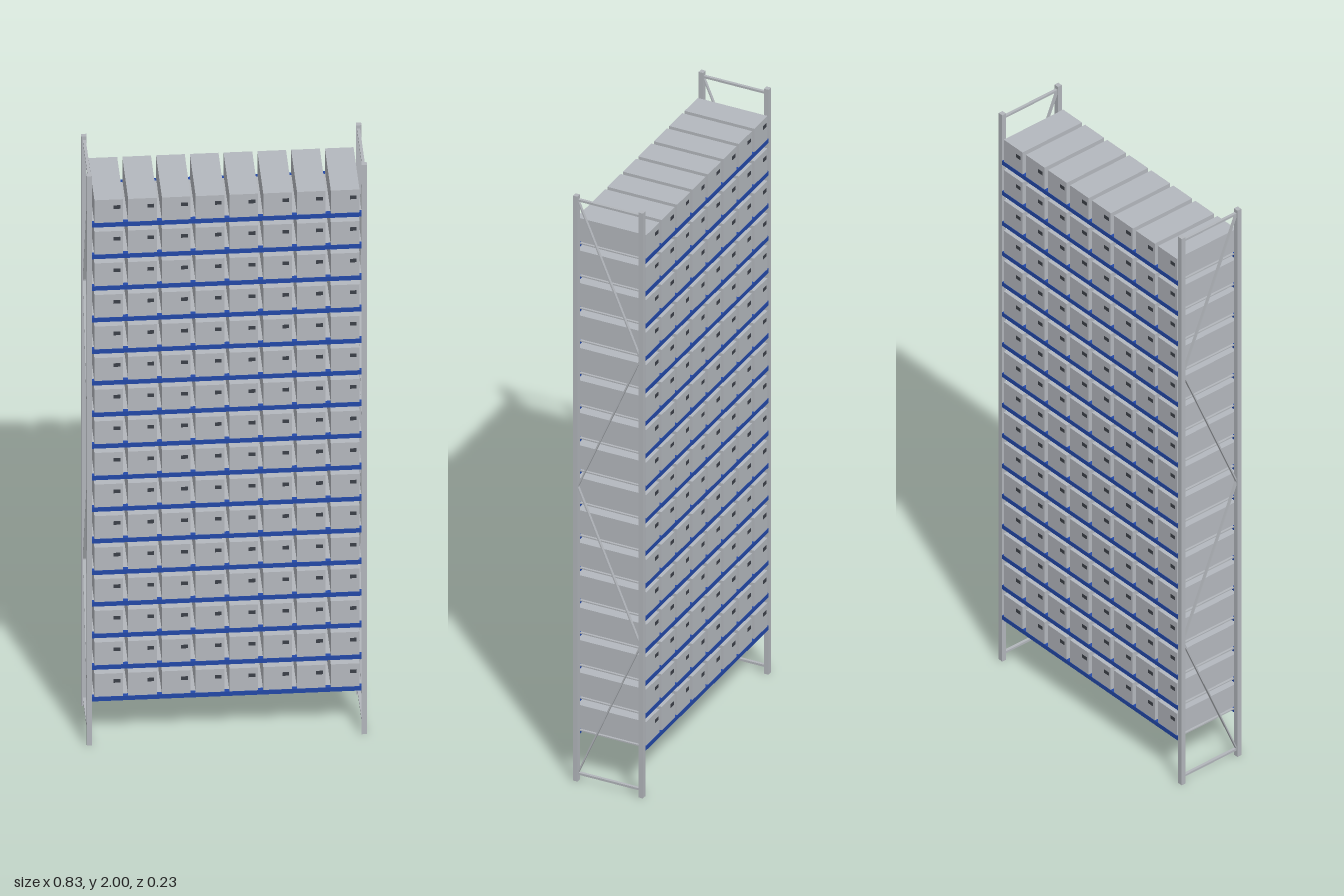
import * as THREE from 'three';

const material = (name, color) => {
  const m = new THREE.MeshStandardMaterial({ color });
  m.name = name;
  return m;
};

export function createModel() {
  const rack = new THREE.Group();
  rack.name = 'storageRack';
  const steel = material('steelGrey', 0xb2b6bb);
  const binGrey = material('binGrey', 0xb4b8be);
  const blue = material('beamBlue', 0x2348a8);
  const dark = material('gripDark', 0x3c4048);

  const add = (parent, name, mat, size, pos) => {
    const mesh = new THREE.Mesh(new THREE.BoxGeometry(...size), mat);
    mesh.name = name;
    mesh.position.set(...pos);
    parent.add(mesh);
    return mesh;
  };

  const HALF_D = 0.116;
  const LEVELS = 16, PER_SHELF = 8, PITCH = 0.1;

  // Square bar running between two points (z, y) in an end frame
  const bar = (parent, name, x, [z0, y0], [z1, y1], t, w) => {
    const b = add(parent, name, steel, [w, t, Math.hypot(z1 - z0, y1 - y0)],
      [x, (y0 + y1) / 2, (z0 + z1) / 2]);
    b.rotation.x = -Math.atan2(y1 - y0, z1 - z0);
  };

  // End frames: two posts, two cross bars and a zigzag brace
  for (const side of [-1, 1]) {
    const frame = new THREE.Group();
    frame.name = side > 0 ? 'leftEndFrame' : 'rightEndFrame';
    for (const end of [-1, 1]) {
      add(frame, end > 0 ? 'frontPost' : 'backPost', steel, [0.016, 2, 0.015],
        [side * 0.407, 1, end * (HALF_D - 0.0075)]);
    }
    const x = side * 0.406;
    for (const y of [0.025, 1.985]) {
      bar(frame, 'crossBar', x, [-0.104, y], [0.104, y], 0.007, 0.009);
    }
    for (let i = 0; i < 4; i++) {
      const z = i % 2 ? -0.104 : 0.104;
      bar(frame, 'diagonalBrace', x, [z, 0.025 + i * 0.49], [-z, 0.025 + (i + 1) * 0.49], 0.004, 0.009);
    }
    rack.add(frame);
  }

  // Shelves: blue beams, grey deck and a row of bins
  for (let level = 0; level < LEVELS; level++) {
    const shelf = new THREE.Group();
    shelf.name = 'shelf' + (level + 1);
    shelf.position.y = 0.169 + level * 0.111;
    for (const end of [-1, 1]) {
      add(shelf, end > 0 ? 'frontBeam' : 'backBeam', blue, [0.798, 0.015, 0.014],
        [0, -0.0075, end * (HALF_D - 0.007)]);
    }
    add(shelf, 'deck', steel, [0.798, 0.004, 0.204], [0, -0.002, 0]);

    for (let i = 0; i < PER_SHELF; i++) {
      const bin = new THREE.Group();
      bin.name = 'bin' + (i + 1);
      bin.position.x = (i - (PER_SHELF - 1) / 2) * PITCH;
      add(bin, 'binBody', binGrey, [0.085, 0.08, 2 * HALF_D - 0.001], [0, 0.0405, 0]);
      // Grip on each end, turned half round for the back
      for (const end of [-1, 1]) {
        add(bin, 'grip', dark, [0.02, 0.012, 0.002], [end * 0.024, 0.054, end * (HALF_D - 0.0005)]);
      }
      shelf.add(bin);
    }
    rack.add(shelf);
  }
  return rack;
}
